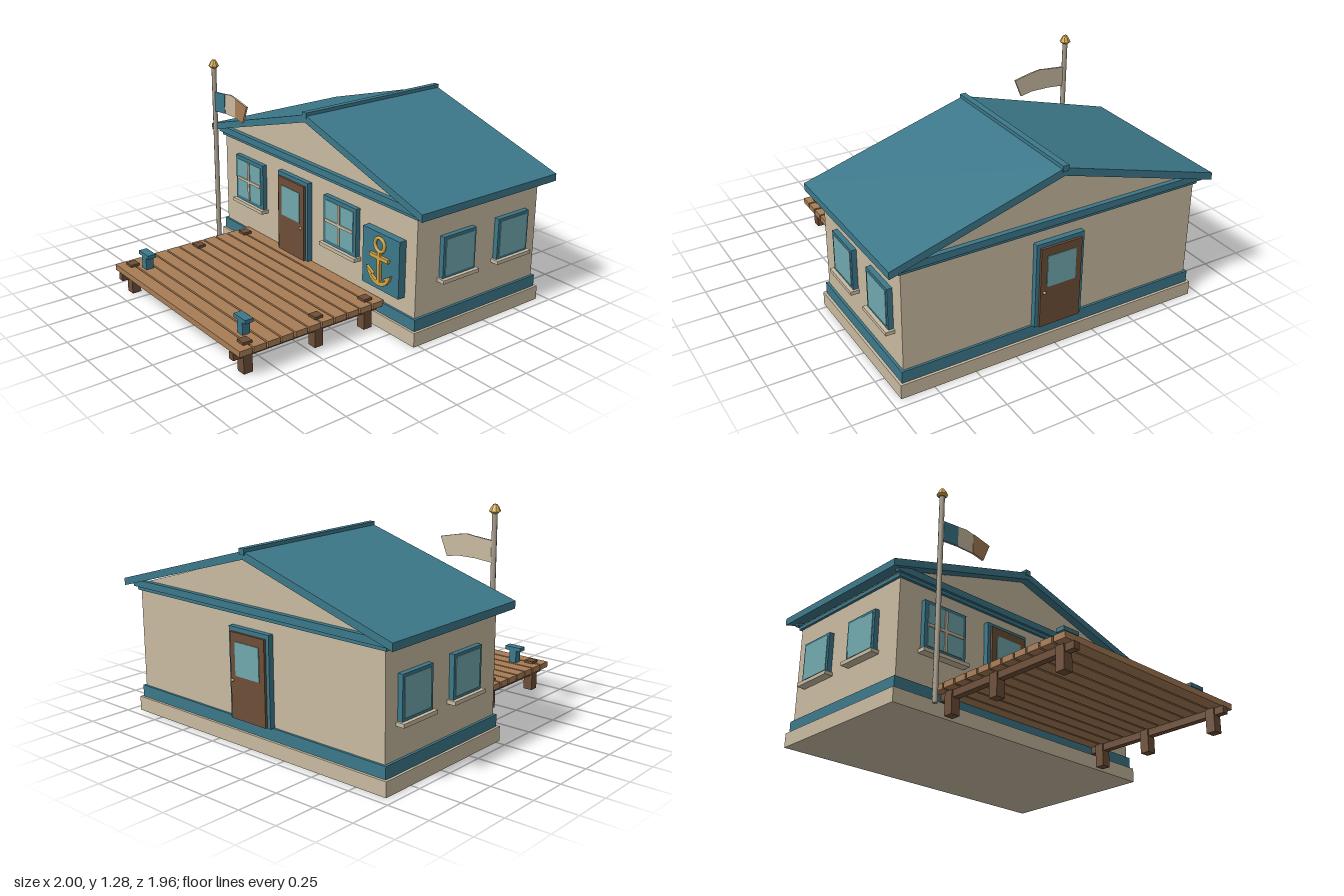
import * as THREE from 'three';

const mat = (name, color) => new THREE.MeshStandardMaterial({ name, color });

export function createModel() {
  const wall = mat('wall beige', 0xc8baa1);
  const teal = mat('teal paint', 0x3c788a);
  const glass = mat('window glass', 0x70a8ae);
  const brown = mat('dark wood', 0x6d4e37);
  const plank = mat('plank wood', 0xa87d55);
  const gold = mat('gold', 0xd2a546);
  const poleMat = mat('pole grey', 0xaaa08f);

  const model = new THREE.Group();
  model.name = 'harbourOffice';

  const add = (parent, name, geo, material, x = 0, y = 0, z = 0) => {
    const m = new THREE.Mesh(geo, material);
    m.name = name;
    m.position.set(x, y, z);
    parent.add(m);
    return m;
  };
  // Box given by its minimum and maximum corners
  const box = (parent, name, material, x0, x1, y0, y1, z0, z1) =>
    add(parent, name, new THREE.BoxGeometry(x1 - x0, y1 - y0, z1 - z0), material,
      (x0 + x1) / 2, (y0 + y1) / 2, (z0 + z1) / 2);
  const group = (name, x = 0, y = 0, z = 0, turn = 0) => {
    const g = new THREE.Group();
    g.name = name;
    g.position.set(x, y, z);
    g.rotation.y = turn;
    model.add(g);
    return g;
  };
  const prism = (points, depth) => new THREE.ExtrudeGeometry(
    new THREE.Shape(points.map(p => new THREE.Vector2(...p))), { depth, bevelEnabled: false });

  // Foundation, base band, walls with gables
  const FRONT = 0.005, BACK = -0.917;
  box(model, 'foundation', wall, -0.945, 0.945, 0, 0.085, -0.945, 0.032);
  box(model, 'baseBand', teal, -0.93, 0.93, 0.085, 0.155, -0.93, 0.018);
  add(model, 'walls', prism([[-0.915, 0.08], [0.915, 0.08], [0.915, 0.775], [0, 1.055], [-0.915, 0.775]],
    FRONT - BACK), wall, 0, 0, BACK);

  // Cornice and gable beams
  box(model, 'cornice', teal, -0.93, 0.93, 0.735, 0.757, -0.93, 0.02);
  box(model, 'frontGableBeam', teal, -0.95, 0.95, 0.757, 0.797, FRONT, 0.035);
  box(model, 'backGableBeam', teal, -0.95, 0.95, 0.757, 0.797, -0.945, BACK);

  // Roof slabs and ridge cap
  add(model, 'roof', prism([[-1, 0.757], [0, 1.05], [1, 0.757], [1, 0.8], [0, 1.095], [-1, 0.8]], 1.028),
    teal, 0, 0, -0.97);
  box(model, 'ridgeCap', teal, -0.018, 0.018, 1.075, 1.11, -0.975, 0.062);

  // Doors, facing local +z
  const door = (name, x, z, turn, side) => {
    const g = group(name, x, 0, z, turn);
    box(g, 'doorFrame', teal, -0.15, 0.15, 0.155, 0.67, -0.01, 0.032);
    box(g, 'doorLeaf', brown, -0.128, 0.128, 0.158, 0.645, 0, 0.046);
    box(g, 'doorGlass', glass, -0.09, 0.09, 0.405, 0.595, 0.044, 0.05);
    add(g, 'doorKnob', new THREE.SphereGeometry(0.009, 8, 6), gold, side * 0.108, 0.378, 0.055);
  };
  door('frontDoor', -0.15, FRONT, 0, 1);
  door('backDoor', -0.008, BACK, Math.PI, -1);

  // Windows, facing local +z, with optional crossbars
  const windowUnit = (name, x, y, z, turn, w, h, bars) => {
    const g = group(name, x, y, z, turn);
    const a = w / 2, b = h / 2, t = bars ? 0.023 : 0.016;
    box(g, 'windowFrame', teal, -a, a, -b, b, -0.01, 0.03);
    box(g, 'windowGlass', glass, -a + t, a - t, -b + t, b - t, 0.028, 0.034);
    box(g, 'windowSill', wall, -a - 0.014, a + 0.014, -b - 0.022, -b, -0.01, 0.052);
    if (bars) {
      box(g, 'verticalBar', wall, -0.009, 0.009, -b + t, b - t, 0.03, 0.04);
      box(g, 'horizontalBar', wall, -a + t, a - t, -0.009, 0.009, 0.03, 0.04);
    }
  };
  for (const x of [-0.612, 0.297]) windowUnit('frontWindow', x, 0.502, FRONT, 0, 0.295, 0.293, true);
  for (const s of [-1, 1])
    for (const z of [-0.285, -0.702])
      windowUnit('sideWindow', s * 0.915, 0.477, z, s * Math.PI / 2, 0.242, 0.245, false);

  // Sign board with anchor
  const sign = group('anchorSign', 0.679, 0, 0);
  box(sign, 'signBoard', teal, -0.152, 0.152, 0.25, 0.587, 0, 0.052);
  const ring = add(sign, 'anchorRing', new THREE.TorusGeometry(0.04, 0.011, 6, 14), gold, 0, 0.522, 0.06);
  ring.scale.z = 0.9;
  box(sign, 'anchorShank', gold, -0.011, 0.011, 0.3, 0.485, 0.05, 0.07);
  box(sign, 'anchorStock', gold, -0.076, 0.076, 0.437, 0.459, 0.05, 0.07);
  const arms = new THREE.Shape();
  arms.moveTo(-0.1, 0.37);
  arms.quadraticCurveTo(-0.075, 0.285, 0, 0.283);
  arms.quadraticCurveTo(0.075, 0.285, 0.1, 0.37);
  arms.lineTo(0.045, 0.338);
  arms.lineTo(0.061, 0.33);
  arms.quadraticCurveTo(0.035, 0.308, 0, 0.307);
  arms.quadraticCurveTo(-0.035, 0.308, -0.061, 0.33);
  arms.lineTo(-0.045, 0.338);
  add(sign, 'anchorArms', new THREE.ExtrudeGeometry(arms, { depth: 0.02, bevelEnabled: false, curveSegments: 6 }),
    gold, 0, 0, 0.05);

  // Dock: planks, beams, posts and mooring bollards
  for (let i = 0; i < 11; i++) {
    const z = 0.935 - i * 0.0885;
    box(model, 'dockPlank', plank, -0.667, 0.667, 0.135, 0.17, z - 0.039, z + 0.039);
  }
  for (const s of [-1, 1]) {
    const x = s * 0.595;
    box(model, 'dockBeam', brown, x - 0.02, x + 0.02, 0.095, 0.136, 0.01, 0.98);
    for (const z of [0.895, 0.432, 0.088])
      box(model, 'dockPost', brown, x - 0.029, x + 0.029, 0, 0.185, z - 0.028, z + 0.028);
    const b = group('bollard', s * 0.508, 0, 0.842);
    box(b, 'bollardStem', teal, -0.024, 0.024, 0.165, 0.25, -0.024, 0.024);
    box(b, 'bollardCap', teal, -0.054, 0.054, 0.247, 0.27, -0.026, 0.026);
  }

  // Flagpole with finial
  const flag = group('flagpole', -0.78, 0, 0.168);
  add(flag, 'pole', new THREE.CylinderGeometry(0.015, 0.015, 1.24, 8), poleMat, 0, 0.62, 0);
  const profile = [[0, 1.228], [0.02, 1.23], [0.033, 1.242], [0.022, 1.265], [0.011, 1.28], [0, 1.281]];
  const finial = new THREE.LatheGeometry(profile.map(p => new THREE.Vector2(...p)), 8).toNonIndexed();
  finial.computeVertexNormals();
  add(flag, 'finial', finial, gold);

  // Flag cloth with coloured end panels on its front
  const hoist = [[0.01, 0.955], [0.12, 0.965], [0.12, 1.088], [0.01, 1.078]];
  const fly = [[0.235, 0.965], [0.312, 0.95], [0.357, 1.06], [0.235, 1.087]];
  const cloth = [hoist[0], hoist[1], fly[0], fly[1], fly[2], fly[3], [0.18, 1.096], hoist[2], hoist[3]];
  add(flag, 'flagCloth', prism(cloth, 0.009), wall, 0, 0, -0.006);
  add(flag, 'flagHoistPanel', prism(hoist, 0.003), teal, 0, 0, 0.003);
  add(flag, 'flagFlyPanel', prism(fly, 0.003), plank, 0, 0, 0.003);

  return model;
}
